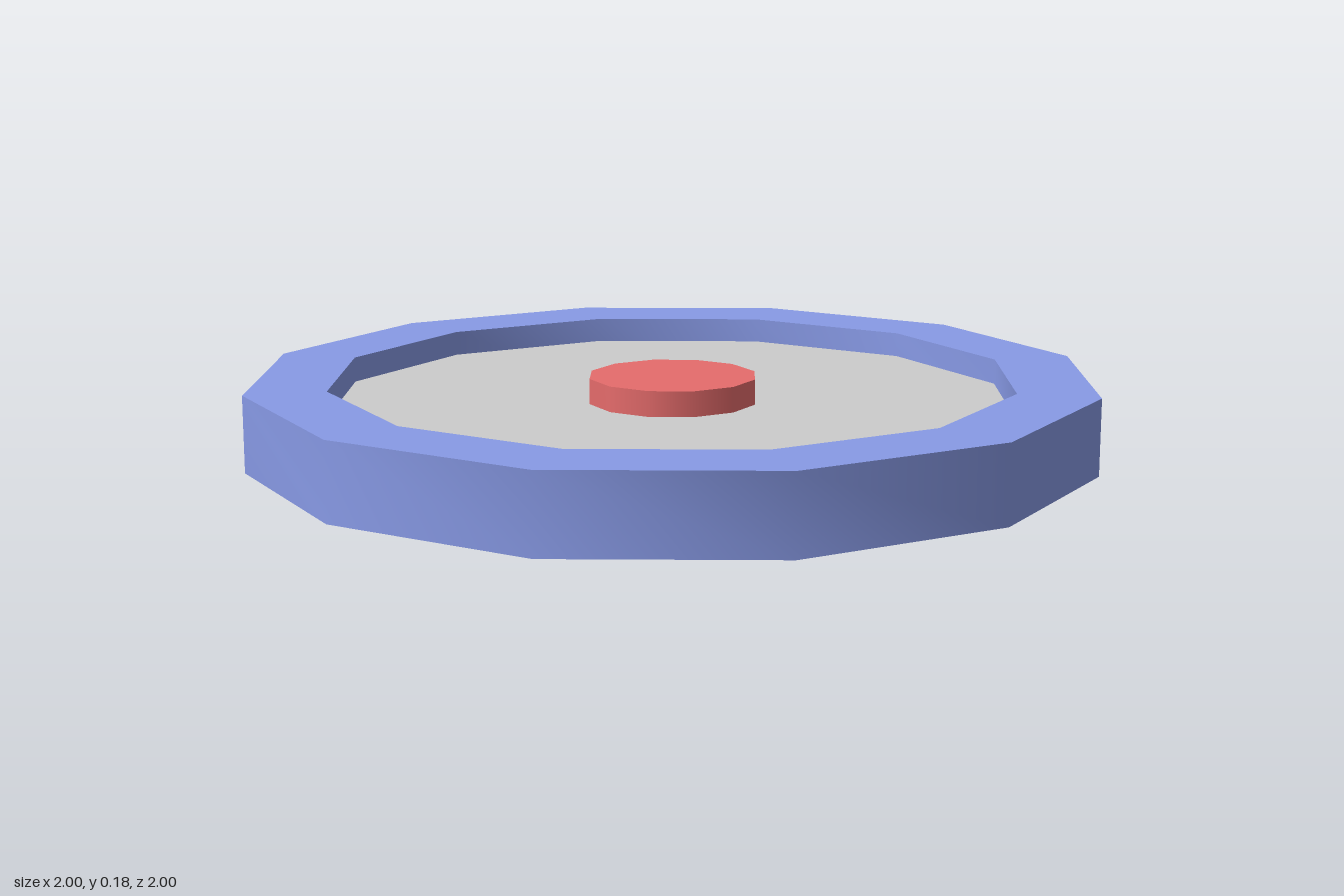
import * as THREE from 'three';
import { toCreasedNormals } from 'three/addons/utils/BufferGeometryUtils.js';

const SIDES = 12;
const HEIGHT = 0.18;
const OUTER = 1;
const INNER = 0.81;

export function createModel() {
  const model = new THREE.Group();
  model.name = 'wheel';

  const add = (name, geometry, color, y = 0) => {
    const mesh = new THREE.Mesh(geometry, new THREE.MeshStandardMaterial({ color }));
    mesh.name = name;
    mesh.position.y = y;
    model.add(mesh);
  };

  // Outer ring: closed rectangular section, smooth around and sharp at its edges
  const section = [[INNER, 0], [OUTER, 0], [OUTER, HEIGHT], [INNER, HEIGHT], [INNER, 0]]
    .map(([r, y]) => new THREE.Vector2(r, y));
  add('rim', toCreasedNormals(new THREE.LatheGeometry(section, SIDES), Math.PI / 4), 0x889ae6);

  // Thin web, recessed equally from both faces
  add('disc', new THREE.CylinderGeometry(INNER, INNER, 0.06, SIDES), 0xcccccc, HEIGHT / 2);

  // Centre hub, flush with the rim on both faces
  add('hub', new THREE.CylinderGeometry(0.2, 0.2, HEIGHT, SIDES), 0xe66c6c, HEIGHT / 2);

  return model;
}
